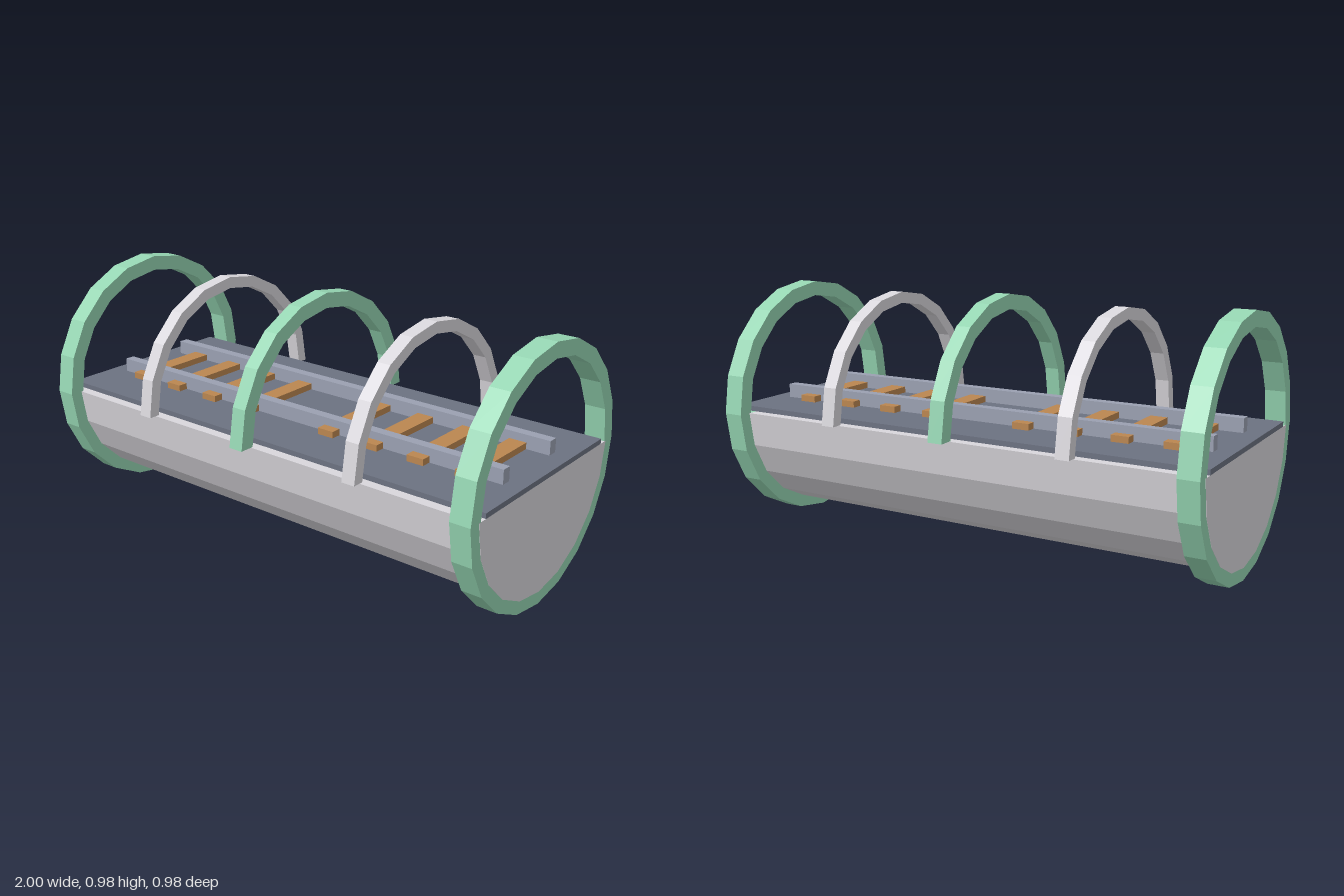
import * as THREE from 'three';

const CENTRE_Y = 0.49;
const SEGMENTS = 10; // sides per half circle

function material(name, color) {
  const m = new THREE.MeshStandardMaterial({ color, flatShading: true });
  m.name = name;
  return m;
}

// Points on a half circle, from angle a0 round to a1
function arc(radius, a0, a1) {
  return Array.from({ length: SEGMENTS + 1 }, (_, i) => {
    const a = a0 + (a1 - a0) * i / SEGMENTS;
    return new THREE.Vector2(radius * Math.cos(a), radius * Math.sin(a));
  });
}

// Extrude a cross-section along x, centred on the tunnel axis
function extrudeAlongX(points, length) {
  const g = new THREE.ExtrudeGeometry(new THREE.Shape(points), { depth: length, bevelEnabled: false });
  g.translate(0, 0, -length / 2);
  g.rotateY(Math.PI / 2);
  g.translate(0, CENTRE_Y, 0);
  return g;
}

const archGeometry = (outer, inner, width) =>
  extrudeAlongX([...arc(outer, 0, Math.PI), ...arc(inner, Math.PI, 0)], width);

const troughGeometry = (radius, length) =>
  extrudeAlongX(arc(radius, Math.PI, 2 * Math.PI), length);

export function createModel() {
  const model = new THREE.Group();
  model.name = 'railTunnel';

  const green = material('mint green', 0x95d5b2);
  const shell = material('pale grey', 0xd8d6db);
  const deckGrey = material('slate grey', 0x6c7281);
  const railGrey = material('steel grey', 0x9aa0b1);
  const wood = material('wood brown', 0xba8650);

  const add = (name, geometry, mat, x = 0, y = 0, z = 0) => {
    const mesh = new THREE.Mesh(geometry, mat);
    mesh.name = name;
    mesh.position.set(x, y, z);
    model.add(mesh);
  };

  // Half-round lower hull and the flat track bed on it
  add('hull', troughGeometry(0.44, 2), shell);
  add('deck', new THREE.BoxGeometry(2, 0.02, 0.8), deckGrey, 0, 0.5, 0);

  // End rings: an arch above and a solid half disc below
  for (const side of [-1, 1]) {
    add('endArch', archGeometry(0.49, 0.431, 0.08), green, side * 0.96);
    add('endCollar', troughGeometry(0.49, 0.079), green, side * 0.9595);
    add('greyArch', archGeometry(0.47, 0.425, 0.055), shell, side * 0.5);
  }
  add('middleArch', archGeometry(0.49, 0.431, 0.06), green);

  // Rails
  for (const z of [-0.16, 0.16]) {
    add('rail', new THREE.BoxGeometry(1.86, 0.055, 0.04), railGrey, 0, 0.5375, z);
  }

  // Sleepers, with a gap under the middle arch
  for (const side of [-1, 1]) {
    for (let i = 1; i <= 4; i++) {
      add('sleeper', new THREE.BoxGeometry(0.07, 0.025, 0.44), wood, side * i * 0.2, 0.5225, 0);
    }
  }

  return model;
}
